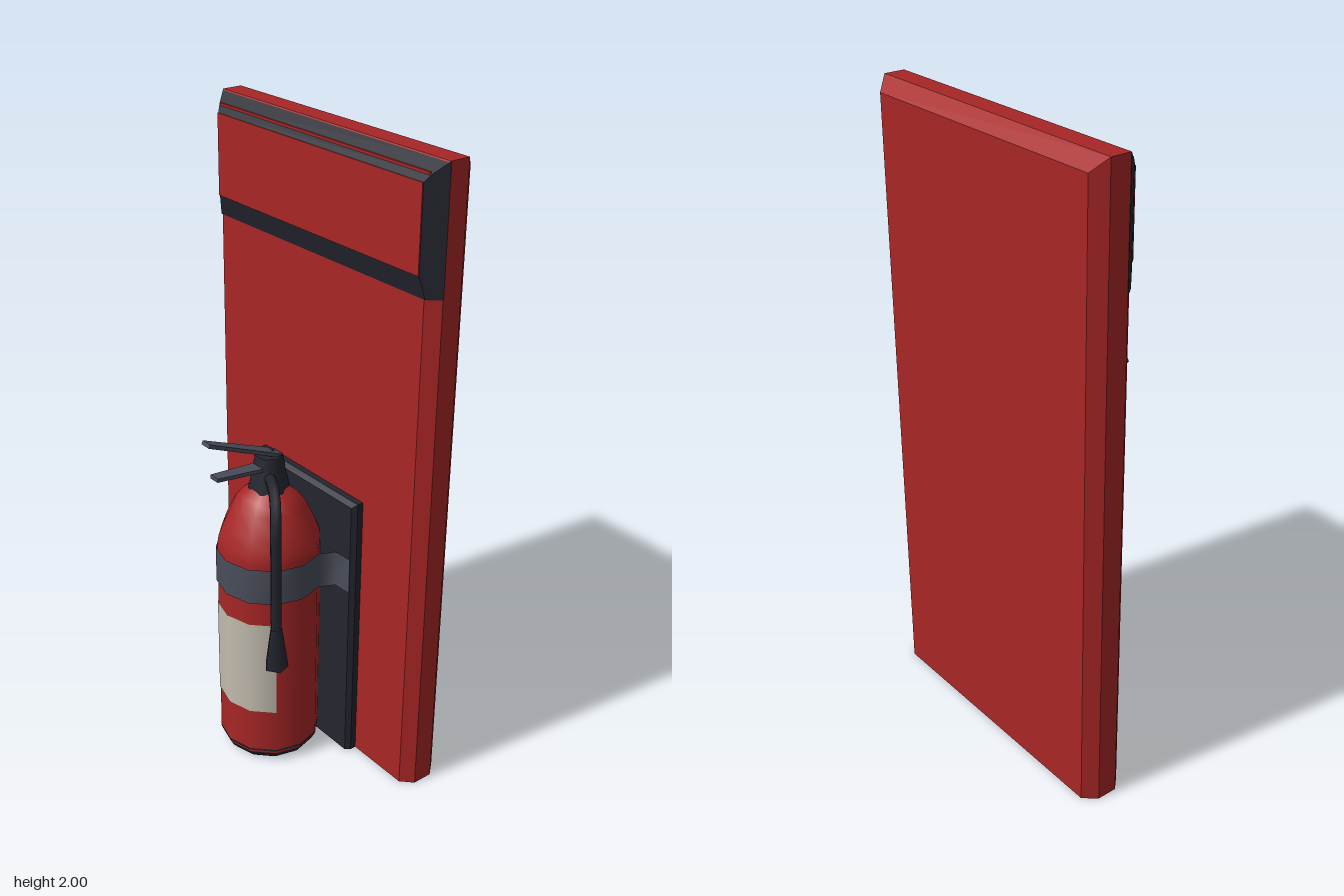
import * as THREE from 'three';

const mat = (name, color, side = THREE.FrontSide) =>
  Object.assign(new THREE.MeshStandardMaterial({ color, side }), { name });

// Flat-faced slab lofted through rectangles [halfWidth, bottom, top, z], back to front
function slab(rects) {
  const pos = [];
  const corners = ([w, b, t, z]) => [[-w, b, z], [w, b, z], [w, t, z], [-w, t, z]];
  const quad = (a, b, c, d) => pos.push(...a, ...b, ...c, ...a, ...c, ...d);
  const rings = rects.map(corners);
  const [p, q, r, s] = rings[0];
  quad(s, r, q, p);
  for (let i = 0; i < rings.length - 1; i++) {
    for (let k = 0; k < 4; k++) {
      const n = (k + 1) % 4;
      quad(rings[i][k], rings[i][n], rings[i + 1][n], rings[i + 1][k]);
    }
  }
  quad(...rings[rings.length - 1]);
  const g = new THREE.BufferGeometry();
  g.setAttribute('position', new THREE.Float32BufferAttribute(pos, 3));
  g.computeVertexNormals();
  return g;
}

// Part-turn lathe, symmetric about the front
function arcLathe(profile, degrees, segments) {
  const a = THREE.MathUtils.degToRad(degrees);
  return new THREE.LatheGeometry(profile.map(p => new THREE.Vector2(...p)), segments, -a / 2, a);
}

// Zero-thickness upright strip following [x, z] points
function strip(points, y0, y1) {
  const pos = [], idx = [];
  points.forEach(([x, z], i) => {
    pos.push(x, y0, z, x, y1, z);
    if (i) idx.push(2 * i - 2, 2 * i, 2 * i + 1, 2 * i - 2, 2 * i + 1, 2 * i - 1);
  });
  const g = new THREE.BufferGeometry();
  g.setAttribute('position', new THREE.Float32BufferAttribute(pos, 3));
  g.setIndex(idx);
  g.computeVertexNormals();
  return g;
}

export function createModel() {
  const model = new THREE.Group();
  model.name = 'wallExtinguisher';
  const red = mat('red', 0xa82626);
  const tankRed = red.clone();
  tankRed.side = THREE.DoubleSide;
  const dark = mat('charcoal', 0x23252e, THREE.DoubleSide);
  const steel = mat('steel grey', 0x4a4e5a, THREE.DoubleSide);
  const cream = mat('cream', 0xc2bbae, THREE.DoubleSide);

  const add = (name, geometry, material, parent = model) => {
    const m = new THREE.Mesh(geometry, material);
    m.name = name;
    parent.add(m);
    return m;
  };

  // Chamfered backing board
  add('backBoard', slab([
    [0.45, 0, 1.96, -0.27], [0.485, 0, 2, -0.23],
    [0.485, 0, 2, -0.165], [0.45, 0, 1.955, -0.13],
  ]), red);

  // Raised sign frame with its red face and trim line
  add('signFrame', slab([
    [0.486, 1.63, 2, -0.166], [0.455, 1.63, 1.965, -0.129], [0.442, 1.695, 1.945, -0.115],
  ]), dark);
  add('signFace', new THREE.BoxGeometry(0.884, 0.25, 0.004), red).position.set(0, 1.82, -0.114);
  add('signTrim', new THREE.BoxGeometry(0.9, 0.008, 0.006), red).position.set(0, 1.967, -0.13);

  // Mounting plate
  add('mountingPlate', slab([
    [0.237, 0, 0.92, -0.135], [0.237, 0, 0.92, -0.11], [0.225, 0, 0.908, -0.095],
  ]), dark);

  // Tank, left open underneath and along the back
  const bottle = new THREE.Group();
  bottle.name = 'extinguisher';
  bottle.position.z = 0.04;
  model.add(bottle);
  add('tank', arcLathe([
    [0.157, 0.033], [0.16, 0.05], [0.16, 0.74], [0.156, 0.77],
    [0.14, 0.815], [0.11, 0.88], [0.085, 0.912], [0.055, 0.935],
  ], 300, 10), tankRed, bottle);
  add('foot', arcLathe([[0.132, 0], [0.145, 0.012], [0.158, 0.034]], 300, 10), dark, bottle);
  add('footRing', arcLathe([[0.1615, 0.043], [0.1615, 0.05]], 300, 10), dark, bottle);
  add('label', arcLathe([[0.1625, 0.2], [0.1625, 0.53]], 120, 4), cream, bottle);

  // Strap wraps the tank and flares out to the plate
  const wrap = [];
  for (let i = -4; i <= 4; i++) {
    const a = i * Math.PI / 6;
    wrap.push([0.165 * Math.sin(a), 0.04 + 0.165 * Math.cos(a)]);
  }
  add('strap', strip([
    [-0.225, -0.092], [-0.165, -0.09], ...wrap, [0.165, -0.09], [0.225, -0.092],
  ], 0.61, 0.73), steel);

  // Valve neck and head
  const neck = add('neck', new THREE.CylinderGeometry(0.047, 0.064, 0.075, 6), dark, bottle);
  neck.position.set(0, 0.967, 0);
  neck.rotation.y = Math.PI / 6;
  const head = add('valveHead', new THREE.CylinderGeometry(0.042, 0.05, 0.04, 6), dark, bottle);
  head.position.set(0, 1.02, 0);
  head.rotation.y = Math.PI / 6;

  // Tapered levers running from [y, z] to [y, z]
  const lever = (name, y0, z0, y1, z1, w0, w1) => {
    const length = Math.hypot(y1 - y0, z1 - z0);
    const g = new THREE.BoxGeometry(1, 0.012, length);
    const p = g.attributes.position;
    for (let i = 0; i < p.count; i++) p.setX(i, p.getX(i) * (p.getZ(i) < 0 ? w0 : w1));
    const m = add(name, g, steel);
    m.position.set(0, (y0 + y1) / 2, (z0 + z1) / 2);
    m.rotation.x = -Math.atan2(y1 - y0, z1 - z0);
  };
  lever('upperLever', 1.035, 0.01, 1.144, 0.266, 0.054, 0.036);
  lever('lowerLever', 1.005, 0.06, 1.024, 0.24, 0.05, 0.036);
  add('pin', new THREE.CylinderGeometry(0.01, 0.01, 0.012, 5), dark).position.set(0, 1.046, 0.032);

  // Hose and flared nozzle
  const path = new THREE.CatmullRomCurve3([
    [0.02, 0.978, 0.055], [0.07, 0.978, 0.08], [0.115, 0.95, 0.105],
    [0.15, 0.885, 0.13], [0.157, 0.78, 0.135], [0.16, 0.65, 0.137], [0.165, 0.53, 0.14],
  ].map(p => new THREE.Vector3(...p)));
  add('hose', new THREE.TubeGeometry(path, 18, 0.018, 6), dark);
  add('nozzle', new THREE.CylinderGeometry(0.019, 0.038, 0.14, 5, 1, true), dark)
    .position.set(0.17, 0.48, 0.145);

  return model;
}
